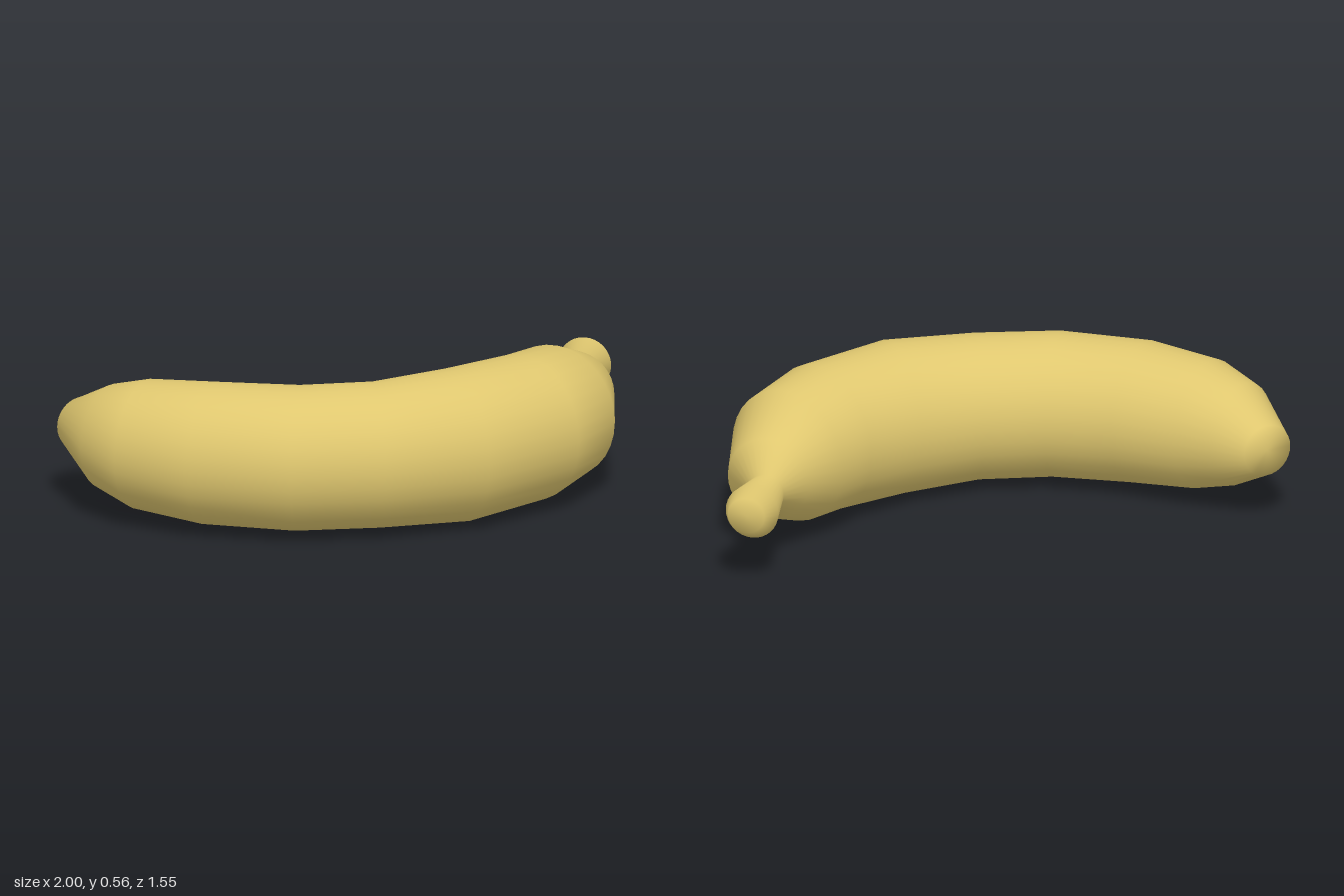
import * as THREE from 'three';

// Cross-sections from blossom tip to stem:
// inner x, inner z, outer x, outer z, half height
const SECTIONS = [
  [-0.85, 0.10, -1.00, 0.22, 0.096],
  [-0.72, 0.135, -0.89, 0.48, 0.19],
  [-0.58, 0.17, -0.755, 0.615, 0.237],
  [-0.34, 0.235, -0.485, 0.73, 0.26],
  [-0.10, 0.25, -0.10, 0.775, 0.265],
  [0.12, 0.19, 0.24, 0.70, 0.266],
  [0.32, 0.06, 0.60, 0.535, 0.28],
  [0.48, -0.11, 0.895, 0.22, 0.27],
  [0.56, -0.27, 1.00, -0.03, 0.246],
  [0.66, -0.41, 0.965, -0.375, 0.155],
  [0.735, -0.54, 0.87, -0.525, 0.07],
  [0.725, -0.74, 0.92, -0.72, 0.1],
  [0.77, -0.78, 0.905, -0.765, 0.066],
];
const SIDES = 32;
const MID_Y = 0.28;

// Skins the elliptical sections into one closed, smooth surface
function loft(sections) {
  const pos = [], index = [];
  for (const [ix, iz, ox, oz, h] of sections) {
    for (let j = 0; j < SIDES; j++) {
      const a = (j / SIDES) * Math.PI * 2;
      const t = (1 + Math.cos(a)) / 2;
      pos.push(ix + (ox - ix) * t, MID_Y + Math.sin(a) * h, iz + (oz - iz) * t);
    }
  }
  const last = (sections.length - 1) * SIDES;
  for (let i = 0; i < last; i += SIDES) {
    for (let j = 0; j < SIDES; j++) {
      const a = i + j, b = i + (j + 1) % SIDES;
      index.push(a, a + SIDES, b, b, a + SIDES, b + SIDES);
    }
  }
  // End caps
  const tip = pos.length / 3, end = tip + 1;
  for (const [ix, iz, ox, oz] of [sections[0], sections[sections.length - 1]]) {
    pos.push((ix + ox) / 2, MID_Y, (iz + oz) / 2);
  }
  for (let j = 0; j < SIDES; j++) {
    const k = (j + 1) % SIDES;
    index.push(tip, j, k, end, last + k, last + j);
  }
  const geo = new THREE.BufferGeometry();
  geo.setAttribute('position', new THREE.Float32BufferAttribute(pos, 3));
  geo.setIndex(index);
  geo.computeVertexNormals();
  return geo;
}

export function createModel() {
  const group = new THREE.Group();
  group.name = 'banana';
  const peelYellow = new THREE.MeshStandardMaterial({ color: 0xdfc76f });
  peelYellow.name = 'peelYellow';

  // Curved fruit with its stem in one continuous skin
  const peel = new THREE.Mesh(loft(SECTIONS), peelYellow);
  peel.name = 'peelAndStem';
  group.add(peel);
  return group;
}
